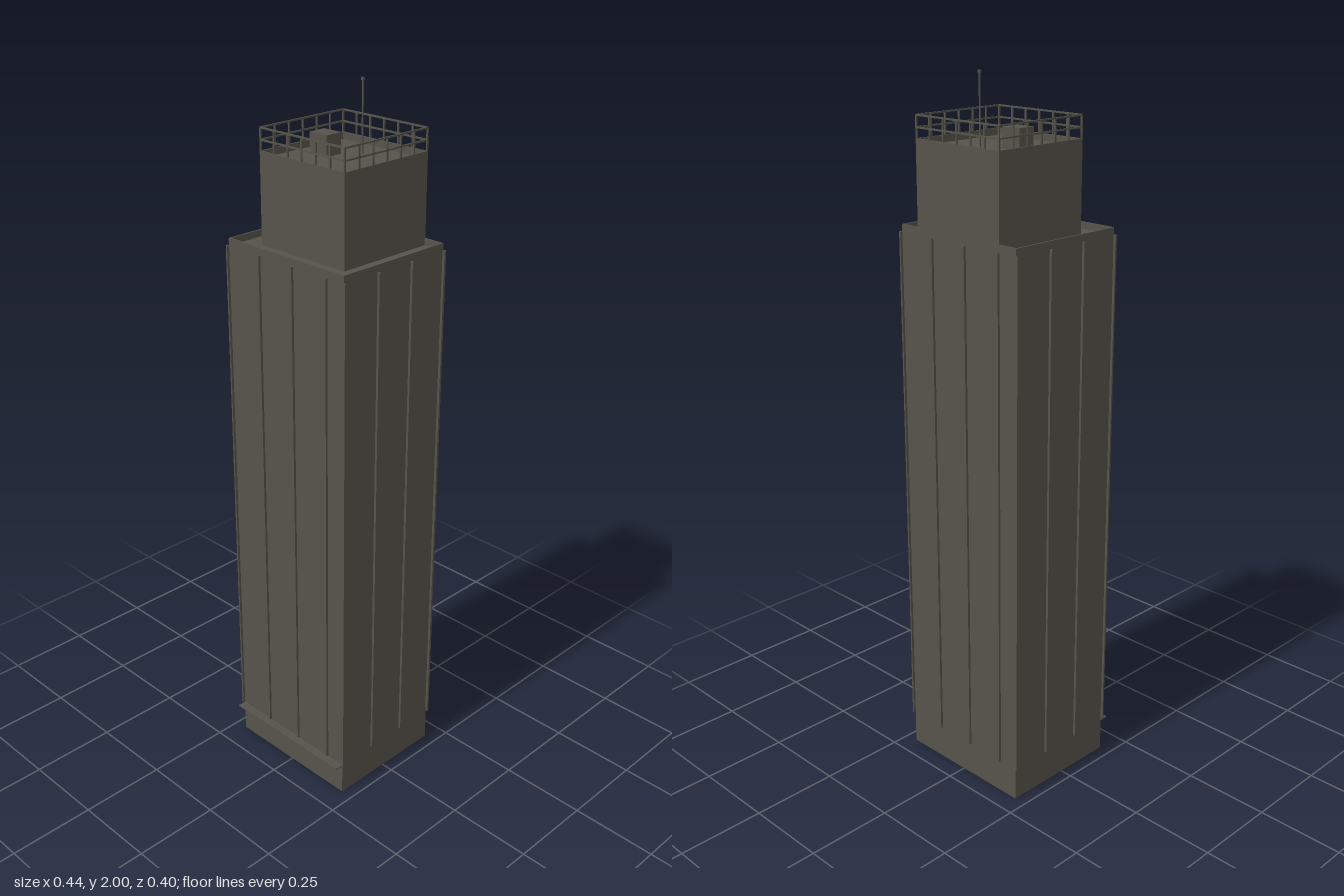
import * as THREE from 'three';

const concrete = new THREE.MeshStandardMaterial({ color: 0x55534a, side: THREE.DoubleSide });

export function createModel() {
  const model = new THREE.Group();

  // Box given by its extents
  function box(name, x0, x1, y0, y1, z0, z1, parent = model) {
    const mesh = new THREE.Mesh(new THREE.BoxGeometry(x1 - x0, y1 - y0, z1 - z0), concrete);
    mesh.position.set((x0 + x1) / 2, (y0 + y1) / 2, (z0 + z1) / 2);
    mesh.name = name;
    parent.add(mesh);
    return mesh;
  }

  // Hollow rectangular walls, open above and below
  function walls(name, halfX, z0, z1, y0, y1, t) {
    const rect = (S, i) => new S([
      new THREE.Vector2(-halfX + i, -z1 + i), new THREE.Vector2(halfX - i, -z1 + i),
      new THREE.Vector2(halfX - i, -z0 - i), new THREE.Vector2(-halfX + i, -z0 - i),
    ]);
    const shape = rect(THREE.Shape, 0);
    shape.holes.push(rect(THREE.Path, t));
    const geo = new THREE.ExtrudeGeometry(shape, { depth: y1 - y0, bevelEnabled: false });
    geo.rotateX(-Math.PI / 2).translate(0, y0, 0);
    const mesh = new THREE.Mesh(geo, concrete);
    mesh.name = name;
    model.add(mesh);
  }

  // Main tower, hollow and open at the bottom, with a sunken roof
  const W = 0.213, BACK = -0.193, FRONT = 0.173;
  walls('towerWalls', W, BACK, FRONT, 0, 1.595, 0.005);
  box('towerRoof', -W + 0.004, W - 0.004, 1.573, 1.576, BACK + 0.004, FRONT - 0.004);
  box('entranceCanopy', -W, W, 0.094, 0.098, FRONT, 0.198);

  // Vertical ribs on all four sides
  const ribs = new THREE.Group();
  ribs.name = 'facadeRibs';
  model.add(ribs);
  const r = 0.0025, y0 = 0.1, y1 = 1.575, step = 0.1225;
  for (let i = 0; i < 4; i++) {
    const x = -0.215 + i * step, z = -0.193 + i * step;
    box('frontRib', x - r, x + r, y0, y1, FRONT, 0.18, ribs);
    box('backRib', -x - r, -x + r, y0, y1, -0.2, BACK, ribs);
    box('leftRib', W, 0.22, y0, y1, z - r, z + r, ribs);
    box('rightRib', -0.22, -W, y0, y1, z - r, z + r, ribs);
  }

  // Upper block flush with the back of the tower
  const U = 0.152, UB = -0.191, UF = 0.111;
  walls('upperWalls', U, UB, UF, 1.575, 1.825, 0.005);
  box('upperRoof', -U + 0.004, U - 0.004, 1.803, 1.806, UB + 0.004, UF - 0.004);
  box('roofHatch', -0.099, -0.037, 1.806, 1.862, -0.067, -0.015);

  // Safety railing with two rails
  const railing = new THREE.Group();
  railing.name = 'railing';
  model.add(railing);
  const h = 0.0022, X = 0.15, ZB = -0.189, ZF = 0.109;
  for (const y of [1.853, 1.884]) {
    for (const z of [ZB, ZF]) box('rail', -X, X, y - h, y + h, z - h, z + h, railing);
    for (const x of [-X, X]) box('rail', x - h, x + h, y - h, y + h, ZB, ZF, railing);
  }
  const bays = 6;
  for (let i = 0; i < bays; i++) {
    const dx = (2 * X * i) / bays, dz = ((ZF - ZB) * i) / bays;
    const posts = [[-X + dx, ZB], [X - dx, ZF], [-X, ZF - dz], [X, ZB + dz]];
    for (const [x, z] of posts) box('railPost', x - h, x + h, 1.82, 1.884, z - h, z + h, railing);
  }

  // Antenna with a small tip
  box('antennaMast', -0.0017, 0.0017, 1.805, 1.995, -0.1097, -0.1063);
  box('antennaTip', -0.0035, 0.0035, 1.993, 2, -0.1115, -0.1045);

  return model;
}
